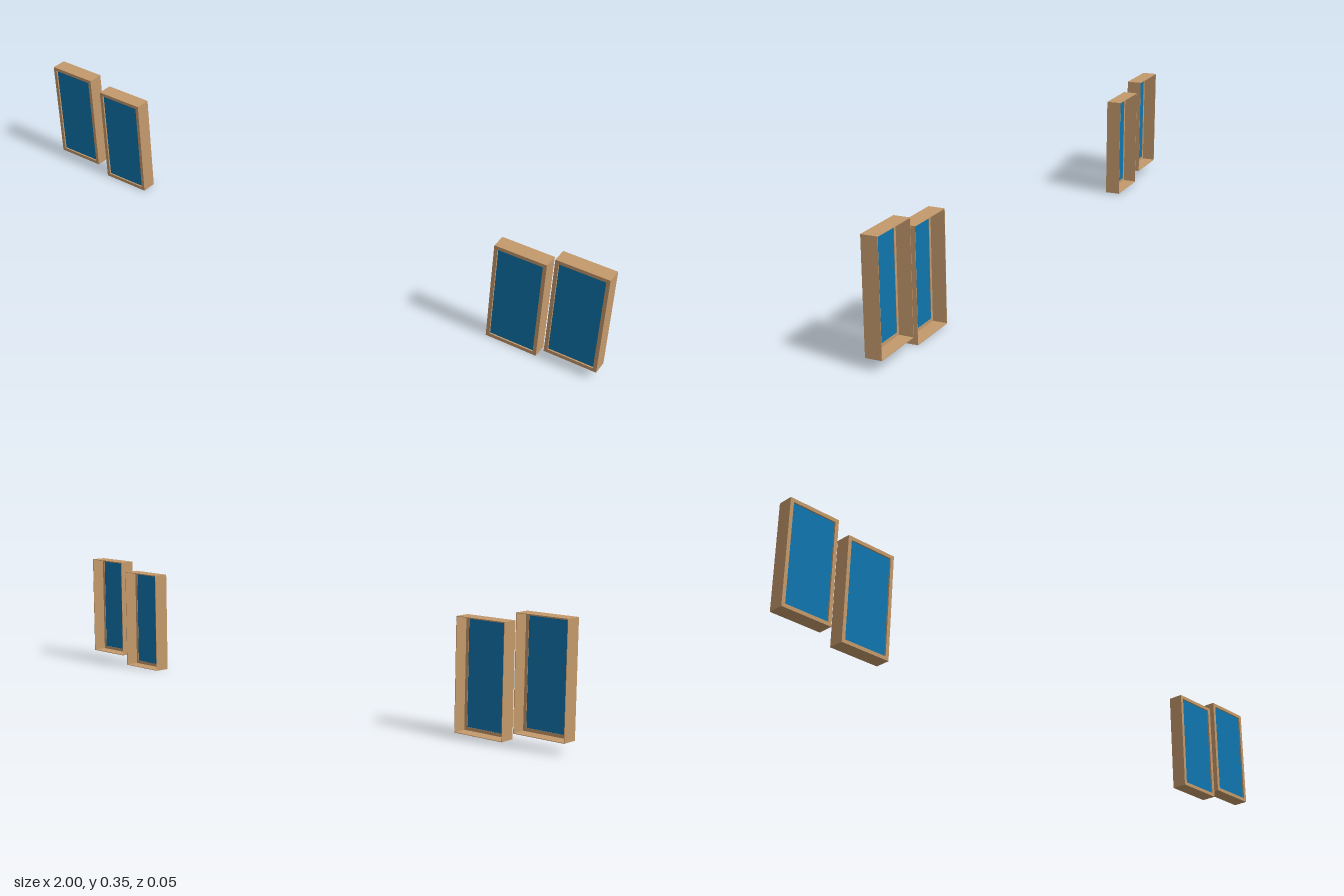
import * as THREE from 'three';

const W = 0.162, H = 0.325, D = 0.048; // outer size of one framed panel
const LIP = 0.011, LIP_DEPTH = 0.006, WALL = 0.0015;

// Rectangular ring extruded along z from z0
function ring(border, depth, z0) {
  const rect = (P, w, h) => new P([
    new THREE.Vector2(-w / 2, -h / 2), new THREE.Vector2(w / 2, -h / 2),
    new THREE.Vector2(w / 2, h / 2), new THREE.Vector2(-w / 2, h / 2),
  ]);
  const shape = rect(THREE.Shape, W, H);
  shape.holes.push(rect(THREE.Path, W - 2 * border, H - 2 * border));
  return new THREE.ExtrudeGeometry(shape, { depth, bevelEnabled: false }).translate(0, 0, z0);
}

export function createModel() {
  const model = new THREE.Group();
  model.name = 'framedPanels';
  const wood = new THREE.MeshStandardMaterial({ color: 0xc49a6c });
  const blue = new THREE.MeshStandardMaterial({ color: 0x0f75ad, side: THREE.DoubleSide });

  const lipGeo = ring(LIP, LIP_DEPTH, D / 2 - LIP_DEPTH);
  const wallGeo = ring(WALL, D - LIP_DEPTH, -D / 2);
  const panelGeo = new THREE.PlaneGeometry(W - 2 * LIP, H - 2 * LIP)
    .translate(0, 0, D / 2 - LIP_DEPTH + 0.001);

  // Outer panels hang slightly higher than the inner ones
  const places = [[-0.919, 0.03], [-0.72, 0], [0.735, 0], [0.919, 0.03]];
  for (const [x, y] of places) {
    const unit = new THREE.Group();
    unit.name = 'framedPanel';
    for (const [name, geo, mat] of [
      ['frontLip', lipGeo, wood], ['frameWalls', wallGeo, wood], ['panel', panelGeo, blue],
    ]) {
      const mesh = new THREE.Mesh(geo, mat);
      mesh.name = name;
      unit.add(mesh);
    }
    unit.position.set(x, y + H / 2, 0);
    model.add(unit);
  }
  return model;
}
